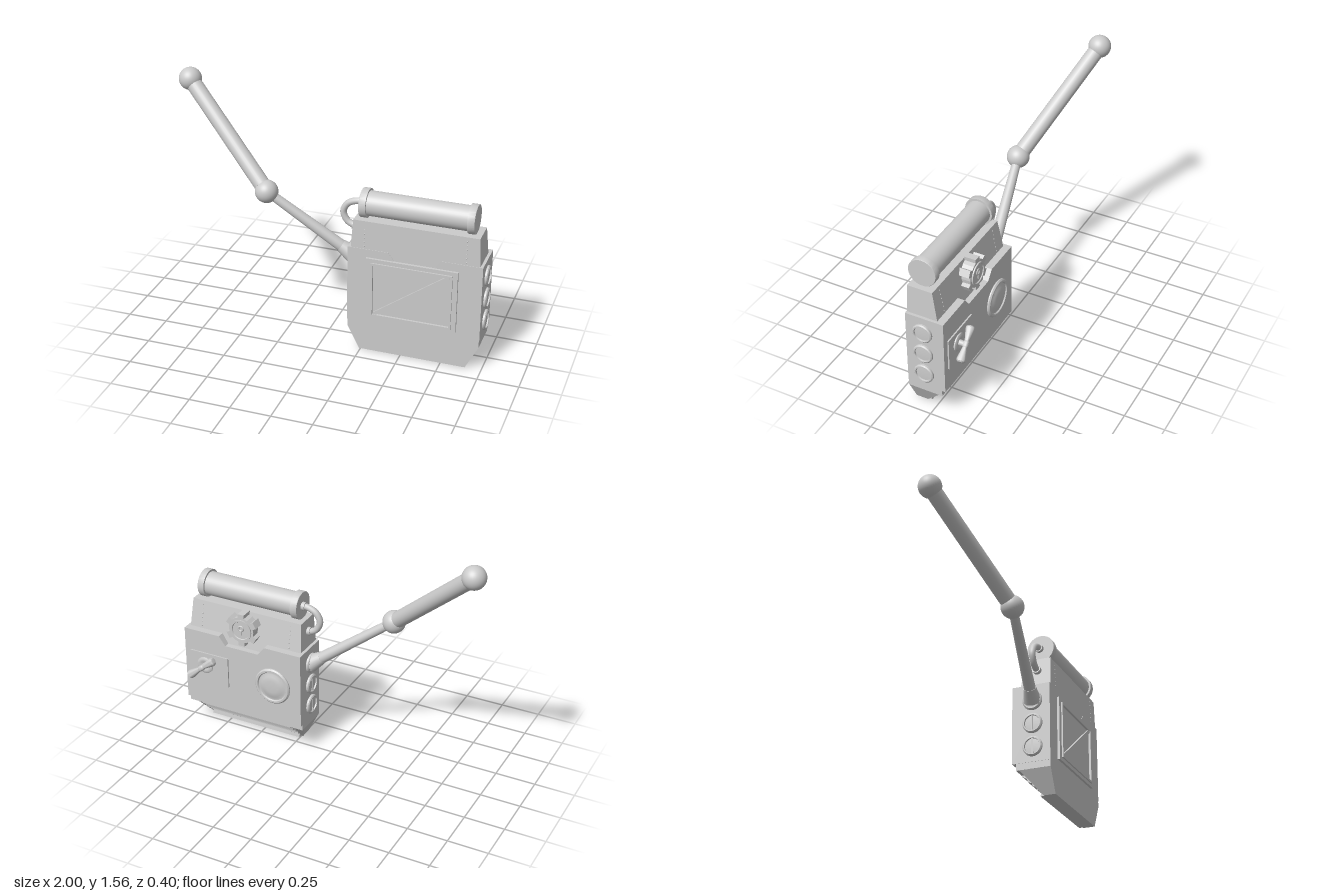
import * as THREE from 'three';
import { toCreasedNormals } from 'three/addons/utils/BufferGeometryUtils.js';

const V = (x, y, z) => new THREE.Vector3(x, y, z);
const UP = V(0, 1, 0);
const CX = 0.572; // middle of the pack

export function createModel() {
  const root = new THREE.Group();
  const mat = new THREE.MeshStandardMaterial({ color: 0xcccccc });

  const add = (name, geo, x = 0, y = 0, z = 0, parent = root) => {
    const m = new THREE.Mesh(geo, mat);
    m.name = name;
    m.position.set(x, y, z);
    parent.add(m);
    return m;
  };
  const box = (name, x0, x1, y0, y1, z0, z1) =>
    add(name, new THREE.BoxGeometry(x1 - x0, y1 - y0, z1 - z0), (x0 + x1) / 2, (y0 + y1) / 2, (z0 + z1) / 2);

  // Block with different rectangles [x0, x1, z0, z1] at its bottom and top
  const taperedBlock = (name, y0, b, y1, t) => {
    const g = new THREE.BoxGeometry(1, 1, 1), p = g.attributes.position;
    for (let i = 0; i < p.count; i++) {
      const top = p.getY(i) > 0, r = top ? t : b;
      p.setXYZ(i, r[p.getX(i) > 0 ? 1 : 0], top ? y1 : y0, r[p.getZ(i) > 0 ? 3 : 2]);
    }
    g.computeVertexNormals();
    return add(name, g);
  };
  // Turned part: profile of [radius, height], pointing along dir
  const turned = (name, profile, pos, dir, seg = 32) => {
    const g = new THREE.LatheGeometry(profile.map(p => new THREE.Vector2(p[0], p[1])), seg);
    const m = add(name, toCreasedNormals(g, 0.6), pos.x, pos.y, pos.z);
    m.quaternion.setFromUnitVectors(UP, dir.clone().normalize());
    return m;
  };
  const rod = (name, a, b, ra, rb, seg = 24) => {
    const d = b.clone().sub(a);
    const c = a.clone().add(b).multiplyScalar(0.5);
    const m = add(name, new THREE.CylinderGeometry(rb, ra, d.length(), seg), c.x, c.y, c.z);
    m.quaternion.setFromUnitVectors(UP, d.normalize());
    return m;
  };
  const polygon = pts => new THREE.Shape(pts.map(p => new THREE.Vector2(p[0], p[1])));
  const rect = (C, x0, x1, y0, y1) => {
    const s = new C();
    s.moveTo(x0, y0).lineTo(x1, y0).lineTo(x1, y1).lineTo(x0, y1).closePath();
    return s;
  };
  const extrude = (shape, depth) =>
    new THREE.ExtrudeGeometry(shape, { depth, bevelEnabled: false, curveSegments: 24 });

  // Main case, with a notch in the top edge for the valve
  const body = polygon([[0.163, 0.19], [0.98, 0.19], [0.98, 0.683], [CX + 0.16, 0.683],
    [CX + 0.115, 0.625], [CX - 0.115, 0.625], [CX - 0.16, 0.683], [0.163, 0.683]]);
  add('case', extrude(body, 0.243), 0, 0, -0.093);
  taperedBlock('upperCase', 0.58, [0.175, 0.968, -0.065, 0.149], 0.862, [0.195, 0.953, -0.015, 0.144]);

  // Lower case: band, tapered ends and stepped slats under the back
  box('lowerBand', 0.165, 0.977, 0.148, 0.19, -0.07, 0.15);
  taperedBlock('lowerCase', 0, [0.24, 0.9, 0.075, 0.15], 0.15, [0.165, 0.977, -0.05, 0.15]);
  const steps = polygon([[0.149, 0.001], [0.05, 0.001], [0.055, 0.035], [0.028, 0.045], [0.028, 0.065],
    [0, 0.072], [-0.004, 0.092], [-0.03, 0.1], [-0.036, 0.122], [-0.069, 0.142], [-0.069, 0.15], [0.149, 0.15]]);
  add('slats', extrude(steps, 0.64).rotateY(-Math.PI / 2), CX + 0.32);

  // Rivet rows and the seam of the upper case
  for (const x of [0.265, 0.88]) for (let i = 0; i < 6; i++) {
    const y = 0.7 + i * 0.027, k = (y - 0.58) / 0.282;
    add('rivet', new THREE.SphereGeometry(0.004, 8, 6), x, y, 0.149 - 0.005 * k);
    add('rivet', new THREE.SphereGeometry(0.004, 8, 6), x, y, -0.065 + 0.05 * k);
  }

  // Front screen: stepped frame, sunken panel and diagonal bar
  const frame = (name, x0, x1, y0, y1, w, z1) => {
    const s = rect(THREE.Shape, x0, x1, y0, y1);
    s.holes.push(rect(THREE.Path, x0 + w, x1 - w, y0 + w, y1 - w));
    add(name, extrude(s, z1 - 0.14), 0, 0, 0.14);
  };
  frame('screenFrame', 0.28, 0.838, 0.23, 0.632, 0.032, 0.165);
  frame('screenRim', 0.313, 0.808, 0.252, 0.608, 0.013, 0.174);
  box('screen', 0.3, 0.82, 0.25, 0.615, 0.14, 0.16);
  const a = V(0.335, 0.267, 0), b = V(0.787, 0.595, 0);
  const bar = add('screenDiagonal', new THREE.BoxGeometry(a.distanceTo(b), 0.022, 0.016),
    (a.x + b.x) / 2, (a.y + b.y) / 2, 0.163);
  bar.rotation.z = Math.atan2(b.y - a.y, b.x - a.x);

  // Round caps down both sides; the upper right one carries the arm
  const cap = [[0.062, -0.01], [0.062, 0.012], [0.055, 0.018], [0.049, 0.018], [0.047, 0.009], [0, 0.012]];
  for (const s of [1, -1]) [0.58, 0.432, 0.285].forEach((y, i) => {
    const x = s > 0 ? 0.979 : 0.163;
    turned('sideCap', cap, V(x, y, 0.04), V(s, 0, 0));
    if (s < 0 && i > 0) box('capSlot', x - 0.016, x, y - 0.047, y + 0.047, 0.034, 0.046);
  });

  // Top tank with end caps
  const tank = [[0, -0.345], [0.086, -0.345], [0.088, -0.342], [0.088, -0.302], [0.075, -0.302],
    [0.075, 0.302], [0.088, 0.302], [0.088, 0.342], [0.086, 0.345], [0, 0.345]];
  turned('tank', tank, V(CX, 0.946, 0.068), V(1, 0, 0), 40);

  // Bent hose from tank to case
  const hose = new THREE.CatmullRomCurve3([V(0.24, 0.946, 0.062), V(0.19, 0.945, 0.062), V(0.135, 0.92, 0.062),
    V(0.108, 0.865, 0.062), V(0.13, 0.81, 0.062), V(0.165, 0.788, 0.062), V(0.21, 0.782, 0.062)]);
  add('hose', new THREE.TubeGeometry(hose, 40, 0.02, 14));
  rod('hoseCollar', V(0.205, 0.946, 0.062), V(0.235, 0.946, 0.062), 0.026, 0.026);
  rod('hoseCollar', V(0.168, 0.786, 0.062), V(0.2, 0.782, 0.062), 0.026, 0.026);

  // Jointed arm on the right
  const base = V(0.16, 0.578, 0.04), elbow = V(-0.35, 0.95, 0.128), tip = V(-0.933, 1.493, -0.13);
  const flare = base.clone().lerp(elbow, 0.14);
  rod('armBase', base, flare, 0.056, 0.038);
  rod('lowerArm', flare, elbow, 0.036, 0.027);
  rod('upperArm', elbow.clone().lerp(tip, 0.06), tip, 0.049, 0.049);
  for (const p of [elbow, tip])
    add(p === tip ? 'armTip' : 'elbow', new THREE.SphereGeometry(0.07, 32, 24), p.x, p.y, p.z);

  // Toothed valve wheel in the notch
  const pts = [], teeth = 6;
  for (let i = 0; i < teeth; i++) {
    const mid = Math.PI / 2 + i * Math.PI * 2 / teeth;
    for (const [da, r] of [[-0.24, 0.086], [-0.2, 0.11], [0.2, 0.11], [0.24, 0.086], [0.52, 0.086]])
      pts.push([Math.cos(mid + da) * r, Math.sin(mid + da) * r]);
  }
  add('valveWheel', extrude(polygon(pts), 0.075), CX, 0.763, -0.089);
  const hub = [[0.072, 0], [0.072, 0.008], [0.06, 0.008], [0.057, 0.002], [0, 0.002]];
  turned('valveHub', hub, V(CX, 0.763, -0.089), V(0, 0, -1));
  add('keyhole', new THREE.TorusGeometry(0.016, 0.006, 8, 20), CX, 0.775, -0.091);
  box('keyholeSlot', CX - 0.006, CX + 0.006, 0.73, 0.76, -0.097, -0.088);

  // Round hatch on the back
  const hatch = [[0.12, 0], [0.12, 0.01], [0.112, 0.018], [0.1, 0.018], [0.095, 0.01], [0.085, 0.01],
    [0.07, 0.018], [0.04, 0.021], [0, 0.022]];
  turned('hatch', hatch, V(0.355, 0.432, -0.091), V(0, 0, -1), 40);

  // Plate with a flared handle
  box('handlePlate', 0.67, 0.94, 0.335, 0.54, -0.102, -0.09);
  turned('handleCollar', [[0.055, 0], [0.055, 0.008], [0.045, 0.014], [0.03, 0.014], [0.018, 0.008], [0, 0.008]],
    V(0.832, 0.458, -0.101), V(0, 0, -1));
  rod('handleStem', V(0.832, 0.458, -0.1), V(0.832, 0.458, -0.148), 0.018, 0.016);
  const grip = [[0, -0.11], [0.018, -0.108], [0.027, -0.1], [0.028, -0.088], [0.014, -0.02], [0.018, -0.012],
    [0.018, 0.012], [0.014, 0.02], [0.028, 0.088], [0.027, 0.1], [0.018, 0.108], [0, 0.11]];
  turned('handleGrip', grip, V(0.832, 0.46, -0.15), V(-0.17, 0.135, 0.02), 24);

  return root;
}
